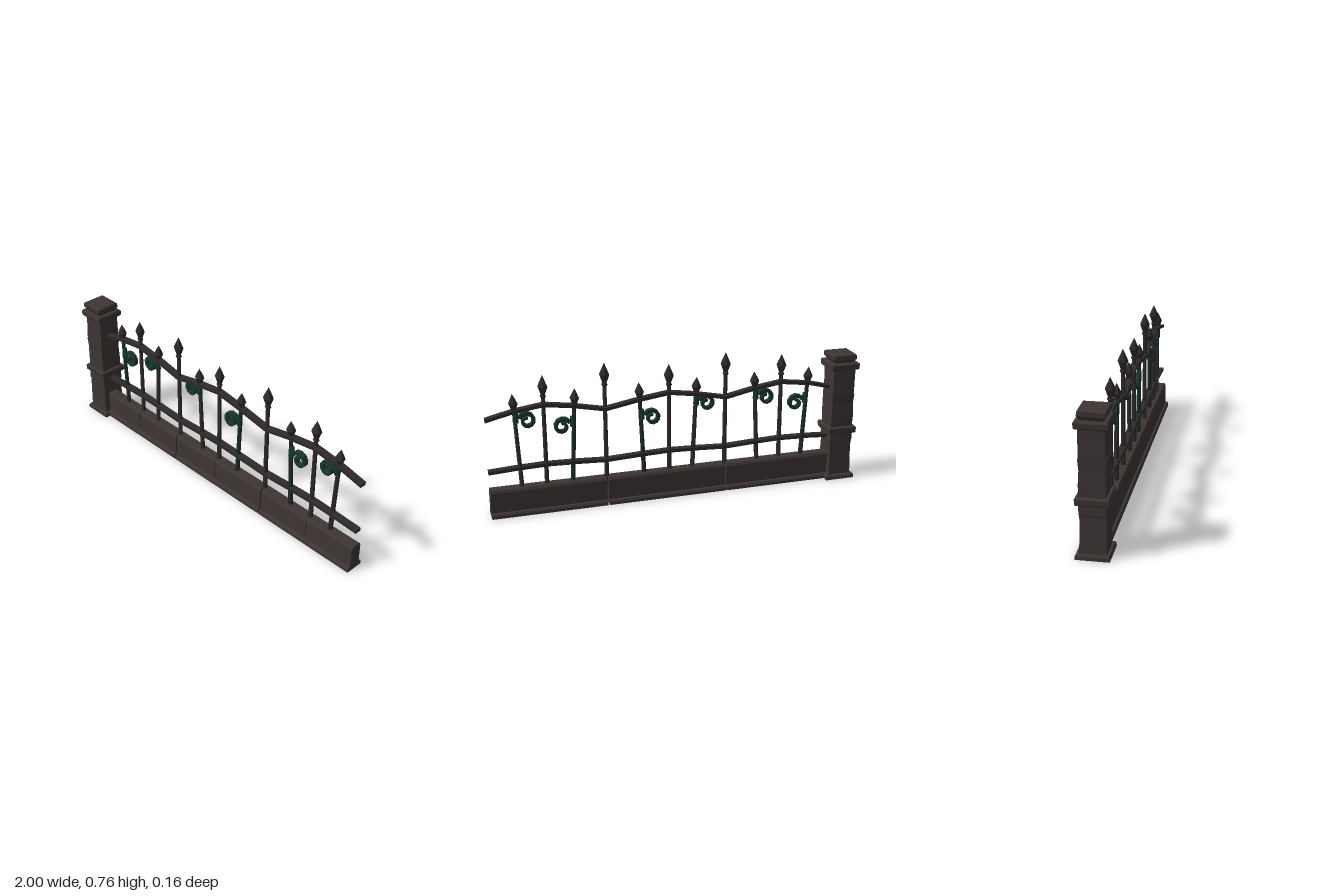
import * as THREE from 'three';

const mat = (name, color) => {
  const m = new THREE.MeshStandardMaterial({ color, flatShading: true });
  m.name = name;
  return m;
};

export function createModel() {
  const stone = mat('dark stone', 0x3d3635);
  const iron = mat('wrought iron', 0x302b2b);
  const vine = mat('green scroll', 0x17392c);
  const mossyIron = mat('mossy iron', 0x1c2c25);

  const model = new THREE.Group();
  model.name = 'fenceSection';
  const add = (name, geometry, material, parent = model) => {
    const mesh = new THREE.Mesh(geometry, material);
    mesh.name = name;
    parent.add(mesh);
    return mesh;
  };
  const v2 = (x, y) => new THREE.Vector2(x, y);

  // Square stone pillar: each block is a four-sided lathe of [half width, height]
  const pillar = new THREE.Group();
  pillar.name = 'pillar';
  pillar.position.x = -0.918;
  model.add(pillar);
  const block = (name, profile) => {
    const pts = profile.map(([h, y]) => v2(h * Math.SQRT2, y));
    pts.unshift(v2(0, profile[0][1]));
    pts.push(v2(0, profile[profile.length - 1][1]));
    const g = new THREE.LatheGeometry(pts, 4, Math.PI / 4);
    // slightly uneven hewn corners
    const p = g.attributes.position;
    for (let i = 0; i < p.count; i++) {
      const x = p.getX(i), y = p.getY(i), z = p.getZ(i);
      const k = 1 + 0.02 * Math.sin(x * 41 + y * 67 + z * 29);
      p.setXYZ(i, x * k, y, z * k);
    }
    add(name, g, stone, pillar);
  };
  block('pillarBase', [[0.081, 0], [0.079, 0.018], [0.074, 0.025]]);
  block('lowerShaft', [[0.064, 0.02], [0.062, 0.13], [0.061, 0.21], [0.064, 0.215], [0.063, 0.27]]);
  block('middleBand', [[0.072, 0.264], [0.078, 0.27], [0.078, 0.298], [0.073, 0.304]]);
  block('middleShaft', [[0.062, 0.3], [0.063, 0.36], [0.061, 0.43], [0.064, 0.484]]);
  block('upperShaft', [[0.061, 0.484], [0.062, 0.49], [0.061, 0.56], [0.062, 0.635]]);
  block('upperBand', [[0.073, 0.628], [0.078, 0.634], [0.078, 0.658], [0.073, 0.665]]);
  block('capNeck', [[0.052, 0.66], [0.064, 0.685]]);
  block('cap', [[0.062, 0.68], [0.066, 0.685], [0.066, 0.706], [0.061, 0.711]]);

  // Low wall: one footed cross-section extruded along x for each section
  const wallSection = new THREE.Shape([
    [-0.051, 0], [-0.051, 0.014], [-0.046, 0.024], [-0.035, 0.026], [-0.034, 0.134], [-0.026, 0.148],
    [0.022, 0.148], [0.029, 0.134], [0.029, 0.026], [0.042, 0.024], [0.047, 0.014], [0.047, 0],
  ].map(([x, y]) => v2(x, y)));
  for (const [x0, x1] of [[-0.87, -0.263], [-0.257, 0.388], [0.395, 1]]) {
    const g = new THREE.ExtrudeGeometry(wallSection, { depth: x1 - x0, bevelEnabled: false });
    g.rotateY(Math.PI / 2).translate(x0, 0, 0);
    add('wallSection', g, stone);
  }

  // Wavy rails, rising at each middle post
  const rail = (name, heights) => {
    const path = [-0.87, -0.74, -0.575, -0.42, -0.26, -0.1, 0.05, 0.21, 0.39, 0.55, 0.705, 0.86, 1]
      .map((x, i) => [x, heights[i % 4]]);
    const outline = [...path.map(([x, y]) => v2(x, y + 0.009)),
      ...path.reverse().map(([x, y]) => v2(x, y - 0.009))];
    const g = new THREE.ExtrudeGeometry(new THREE.Shape(outline), { depth: 0.036, bevelEnabled: false });
    add(name, g.translate(0, 0, -0.016), iron);
  };
  rail('upperRail', [0.52, 0.553, 0.575, 0.553]);
  rail('lowerRail', [0.241, 0.249, 0.254, 0.249]);

  // Post with a spear head, leaning from its foot to its tip
  const post = (name, footX, tipX, footY, tipY, size, material = iron) => {
    const group = new THREE.Group();
    group.name = name;
    const length = Math.hypot(tipX - footX, tipY - footY);
    const headLength = 0.125 * size;
    const rodLength = length - headLength + 0.02;
    const rod = new THREE.CylinderGeometry(0.0105, 0.0125, rodLength, 6);
    add('rod', rod.translate(0, rodLength / 2, 0), material, group);
    const head = [[0, 0], [0.011, 0], [0.017, 0.08], [0.012, 0.16], [0.027, 0.5], [0.018, 0.68], [0, 1]];
    const spear = new THREE.LatheGeometry(
      head.map(([r, t]) => v2(r * (0.6 + 0.4 * size), t * headLength)), 6);
    add('spearHead', spear.translate(0, length - headLength, 0), iron, group);
    group.position.set(footX, footY, 0.002);
    group.rotation.z = -Math.atan2(tipX - footX, tipY - footY);
    model.add(group);
  };
  for (const x of [-0.26, 0.39]) post('tallPost', x, x, 0.12, 0.765, 1);
  for (const x of [-0.575, 0.05, 0.705]) {
    post('middlePost', x, x, 0.1, 0.728, 0.95);
    // seam in the wall below the post
    add('wallSeam', new THREE.BoxGeometry(0.004, 0.1, 0.004).translate(x + 0.003, 0.095, 0.0345), iron);
  }

  // Scroll: a tapering spiral band, side = direction it grows from its post
  const scroll = (postX, cy, side) => {
    const cx = postX + side * 0.06;
    const outer = [], inner = [];
    const steps = 13;
    for (let i = 0; i <= steps; i++) {
      const t = i / steps;
      const a = THREE.MathUtils.degToRad(155 - 440 * t);
      const r = 0.054 - 0.032 * t;
      const w = 0.021 - 0.008 * t;
      outer.push(v2(cx + side * r * Math.cos(a), cy + r * Math.sin(a)));
      inner.push(v2(cx + side * (r - w) * Math.cos(a), cy + (r - w) * Math.sin(a)));
    }
    const shape = new THREE.Shape([...outer, ...inner.reverse()]);
    const g = new THREE.ExtrudeGeometry(shape, { depth: 0.026, bevelEnabled: false });
    add('scroll', g.translate(0, 0, -0.011), vine);
    const stem = new THREE.CylinderGeometry(0.014, 0.016, 0.055, 6);
    add('scrollStem', stem.translate(postX + side * 0.004, cy + 0.022, 0.002), vine);
  };

  // Leaning posts: foot x, tip x, scroll height, scroll side
  const leaning = [
    [-0.705, -0.735, 0.448, 1], [-0.447, -0.422, 0.497, -1],
    [-0.078, -0.102, 0.497, -1], [0.187, 0.211, 0.448, -1],
    [0.57, 0.544, 0.448, 1], [0.833, 0.858, 0.497, -1],
  ];
  for (const [foot, tip, cy, side] of leaning) {
    const low = cy < 0.47;
    post('leaningPost', foot, tip, 0.13, 0.645, 0.82, low ? mossyIron : iron);
    scroll(foot + (tip - foot) * (cy - 0.13) / 0.515, cy, side);
  }
  return model;
}
